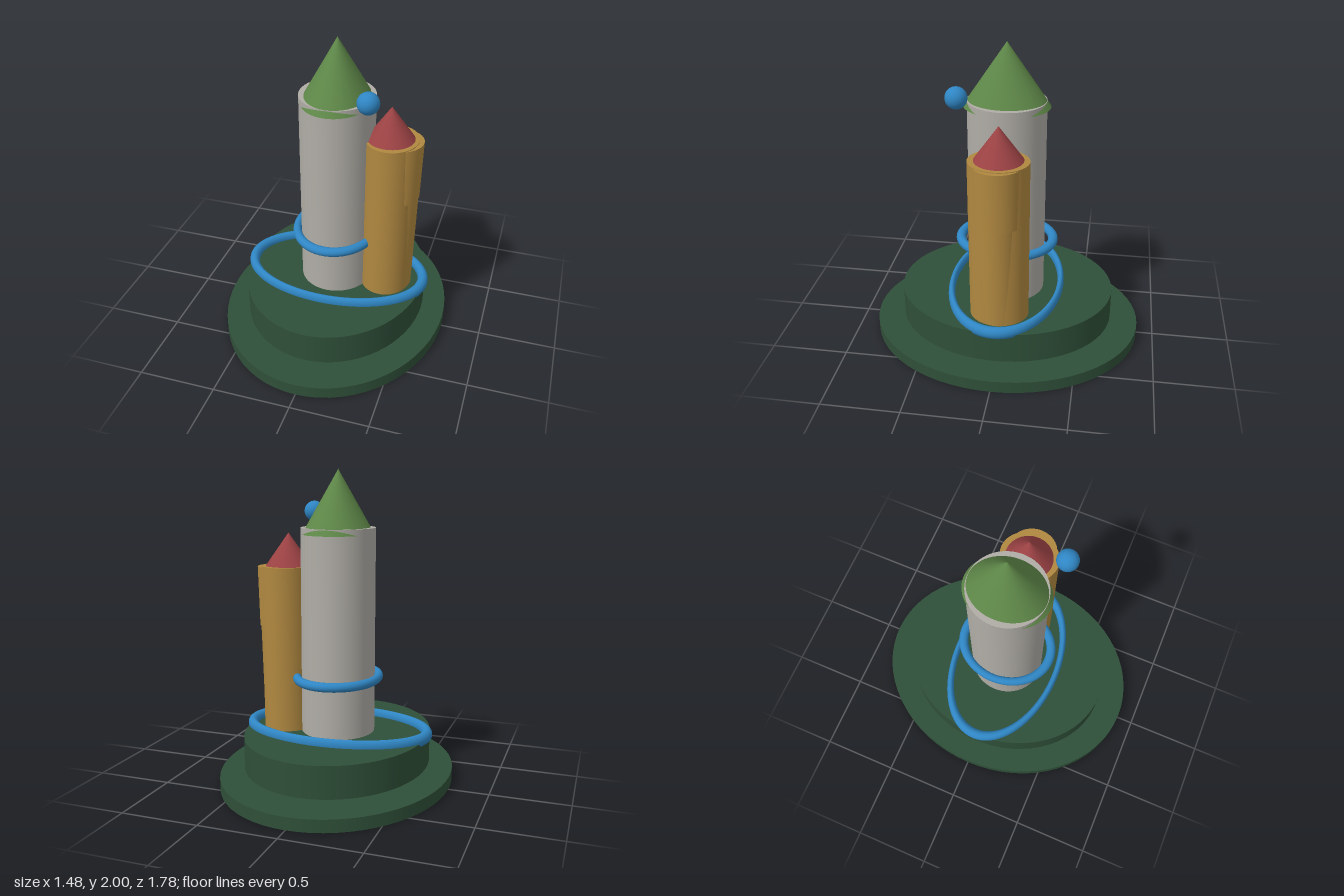
import * as THREE from 'three';

function mat(name, color) {
  const m = new THREE.MeshStandardMaterial({ color });
  m.name = name;
  return m;
}

export function createModel() {
  const root = new THREE.Group();
  root.name = 'twinTowerMonument';

  const darkGreen = mat('dark green', 0x2f5039);
  const stone = mat('stone grey', 0xb0ada6);
  const ochre = mat('ochre', 0xb08840);
  const leaf = mat('leaf green', 0x5e8748);
  const red = mat('brick red', 0x9c4244);
  const blue = mat('blue', 0x2f86c4);

  function add(name, geometry, material) {
    const mesh = new THREE.Mesh(geometry, material);
    mesh.name = name;
    root.add(mesh);
    return mesh;
  }

  // Upright elliptical drum from y0 to y1; the centre leans from x0 to x1
  function drum(name, material, rx, rz, y0, y1, x0 = 0, x1 = x0) {
    const h = y1 - y0;
    const g = new THREE.CylinderGeometry(1, 1, h, 64);
    g.scale(rx, 1, rz);
    g.applyMatrix4(new THREE.Matrix4().makeShear((x1 - x0) / h, 0, 0, 0, 0, 0).transpose().identity());
    const p = g.attributes.position;
    for (let i = 0; i < p.count; i++) {
      const t = p.getY(i) / h + 0.5;
      p.setX(i, p.getX(i) + x0 + (x1 - x0) * t);
    }
    g.translate(0, (y0 + y1) / 2, 0);
    return add(name, g, material);
  }

  function roof(name, material, rx, rz, y0, y1, x = 0) {
    const g = new THREE.ConeGeometry(1, y1 - y0, 64);
    g.scale(rx, 1, rz);
    g.translate(x, (y0 + y1) / 2, 0);
    return add(name, g, material);
  }

  // Flat-lying ring stretched along z
  function ring(name, radius, tube, stretchZ, stretchY, y) {
    const g = new THREE.TorusGeometry(radius, tube, 16, 80);
    g.rotateX(Math.PI / 2);
    g.scale(1, stretchY, stretchZ);
    g.translate(0, y, 0);
    return add(name, g, blue);
  }

  // Stepped base, with a narrow gap between the slabs
  drum('baseSlab', darkGreen, 0.742, 0.89, 0, 0.08);
  drum('plinth', darkGreen, 0.592, 0.706, 0.12, 0.325);

  // Main tower
  drum('mainTower', stone, 0.236, 0.246, 0.32, 1.64);
  roof('mainRoof', leaf, 0.222, 0.27, 1.6, 2.0);

  // Side tower with a bulging outer face that leans outwards
  drum('sideTower', ochre, 0.165, 0.187, 0.32, 1.388, 0.34, 0.35);
  drum('sideTowerLowerBulge', ochre, 0.14, 0.14, 0.32, 1.0, 0.368, 0.388);
  drum('sideTowerUpperBulge', ochre, 0.145, 0.152, 1.0, 1.383, 0.388, 0.4);
  roof('sideRoof', red, 0.154, 0.156, 1.38, 1.6, 0.34);

  // Rings and floating ball
  ring('baseRing', 0.59, 0.035, 0.613, 1.15, 0.335);
  ring('towerRing', 0.259, 0.027, 1.17, 1.1, 0.68);
  const ball = add('ball', new THREE.SphereGeometry(0.067, 32, 20), blue);
  ball.position.set(0.26, 1.728, 0.26);

  return root;
}
